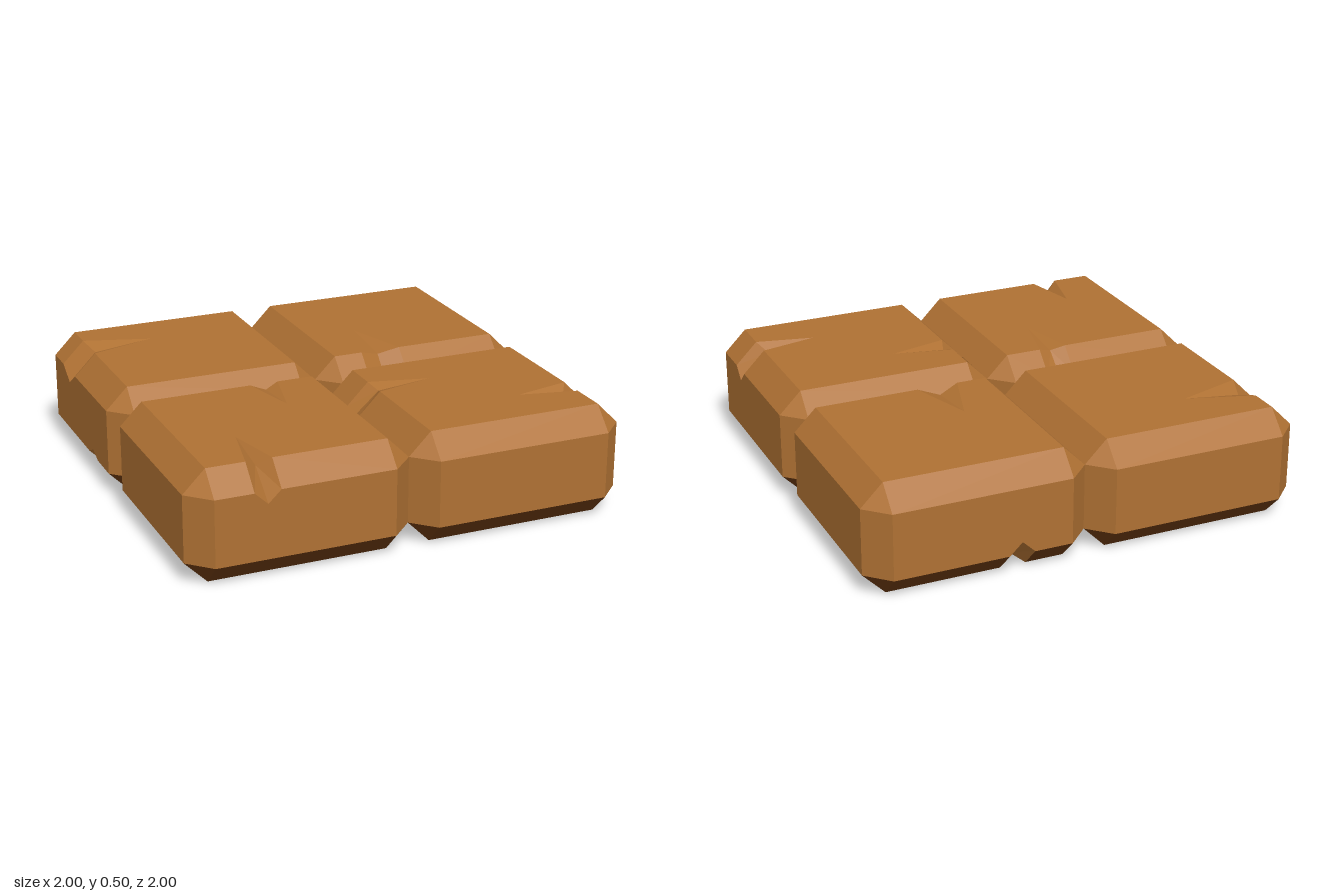
import * as THREE from 'three';

// Half sizes of one block, and the same pulled in by the bevel
const W = 0.5, H = 0.25, BEVEL = 0.1;
const w = W - BEVEL, h = H - BEVEL;
const SIGNS = [-1, 1];

// Wedge-shaped cracks: sy/sz pick the edge, x the place along it
const CRACKS = [
  { sy: 1, sz: 1, x: -0.17, half: 0.058, tip: 0.14, inset: 0.04, drop: 0.055 },
  { sy: 1, sz: -1, x: 0.17, half: 0.065, tip: 0.13, inset: 0.022, drop: 0.03 },
  { sy: -1, sz: -1, x: -0.17, half: 0.095, tip: 0.1, inset: 0.03, drop: 0.06 },
];

// Material slots: sides and crack walls, upper surface, lower surface
const SIDES = 0, UPPER = 1, LOWER = 2;
const slotFor = (sy) => (sy > 0 ? UPPER : LOWER);

function blockGeometry() {
  const slots = [[], [], []];

  // Adds a flat polygon, every triangle turned to face along the hint
  const poly = (slot, pts, hint) => {
    const v = pts.map((p) => new THREE.Vector3(...p));
    const n = new THREE.Vector3(...hint);
    const abs = hint.map(Math.abs);
    const drop = abs.indexOf(Math.max(...abs));
    const flat = pts.map((p) => new THREE.Vector2(...p.filter((_, i) => i !== drop)));
    for (const [a, b, c] of THREE.ShapeUtils.triangulateShape(flat, [])) {
      const normal = v[b].clone().sub(v[a]).cross(v[c].clone().sub(v[a]));
      const order = normal.dot(n) < 0 ? [a, c, b] : [a, b, c];
      order.forEach((i) => slots[slot].push(...v[i].toArray()));
    }
  };
  const crackAt = (sy, sz) => CRACKS.find((c) => c.sy === sy && c.sz === sz);

  // Top and bottom, with the crack tips cut in
  for (const sy of SIGNS) {
    const y = sy * H, pts = [];
    for (const sz of SIGNS) {
      const side = [[-w, y, sz * w]];
      const c = crackAt(sy, sz);
      if (c) side.push([c.x - c.half, y, sz * w], [c.x, y, sz * c.tip], [c.x + c.half, y, sz * w]);
      side.push([w, y, sz * w]);
      pts.push(...(sz > 0 ? side.reverse() : side));
    }
    poly(slotFor(sy), pts, [0, sy, 0]);
  }

  // Front and back, with the crack ends cut in
  for (const sz of SIGNS) {
    const z = sz * W, pts = [];
    for (const sy of SIGNS) {
      const side = [[-w, sy * h, z]];
      const c = crackAt(sy, sz);
      if (c) side.push([c.x - c.half, sy * h, z], [c.x, sy * (h - c.drop), z], [c.x + c.half, sy * h, z]);
      side.push([w, sy * h, z]);
      pts.push(...(sy > 0 ? side.reverse() : side));
    }
    poly(SIDES, pts, [0, 0, sz]);
  }

  for (const sx of SIGNS) {
    // Plain sides and their bevels
    poly(SIDES, [[sx * W, -h, -w], [sx * W, h, -w], [sx * W, h, w], [sx * W, -h, w]], [sx, 0, 0]);
    for (const s of SIGNS) {
      poly(slotFor(s), [[sx * W, s * h, -w], [sx * w, s * H, -w], [sx * w, s * H, w], [sx * W, s * h, w]], [sx, s, 0]);
      poly(SIDES, [[sx * W, -h, s * w], [sx * w, -h, s * W], [sx * w, h, s * W], [sx * W, h, s * w]], [sx, 0, s]);
      // Corner triangles
      for (const sy of SIGNS) {
        poly(slotFor(sy), [[sx * W, sy * h, s * w], [sx * w, sy * H, s * w], [sx * w, sy * h, s * W]], [sx, sy, s]);
      }
    }
  }

  // Front and back bevels, interrupted by the cracks
  for (const sy of SIGNS) for (const sz of SIGNS) {
    const c = crackAt(sy, sz);
    const spans = c ? [[-w, c.x - c.half], [c.x + c.half, w]] : [[-w, w]];
    for (const [a, b] of spans) {
      poly(slotFor(sy), [[a, sy * H, sz * w], [b, sy * H, sz * w], [b, sy * h, sz * W], [a, sy * h, sz * W]], [0, sy, sz]);
    }
  }

  // Crack walls
  for (const { sy, sz, x, half, tip, inset, drop } of CRACKS) {
    const T = [x, sy * H, sz * tip];
    const P = [x, sy * (H - inset), sz * (w - inset)];
    const Q = [x, sy * (h - drop), sz * W];
    for (const s of SIGNS) {
      const upper = [x + s * half, sy * H, sz * w];
      const lower = [x + s * half, sy * h, sz * W];
      poly(SIDES, [T, upper, P], [-s * 0.5, sy, sz * 0.1]);
      poly(SIDES, [upper, lower, P], [-s, sy * 0.9, sz * 0.9]);
      poly(SIDES, [lower, Q, P], [-s, sy * 0.9, sz * 0.9]);
    }
  }

  const g = new THREE.BufferGeometry();
  g.setAttribute('position', new THREE.Float32BufferAttribute(slots.flat(), 3));
  let start = 0;
  slots.forEach((list, slot) => {
    g.addGroup(start, list.length / 3, slot);
    start += list.length / 3;
  });
  g.computeVertexNormals();
  return g;
}

function flatMaterial(name, color) {
  const material = new THREE.MeshStandardMaterial({ color, flatShading: true });
  material.name = name;
  return material;
}

export function createModel() {
  const group = new THREE.Group();
  group.name = 'crackedTiles';
  const clay = flatMaterial('brown clay', 0xaf7133);
  const dark = flatMaterial('dark underside', 0x6a3911);
  const geometry = blockGeometry();

  // The same block four times, turned and flipped; the underside is always dark
  const blocks = [
    ['frontRightBlock', -0.5, 0.5, false, 0],
    ['frontLeftBlock', 0.5, 0.5, false, Math.PI / 2],
    ['backLeftBlock', 0.5, -0.5, true, 0],
    ['backRightBlock', -0.5, -0.5, true, -Math.PI / 2],
  ];
  for (const [name, x, z, flipped, turn] of blocks) {
    const block = new THREE.Mesh(geometry, flipped ? [clay, dark, clay] : [clay, clay, dark]);
    block.name = name;
    block.position.set(x, H, z);
    block.rotation.set(flipped ? Math.PI : 0, turn, 0, 'YXZ');
    group.add(block);
  }
  return group;
}
